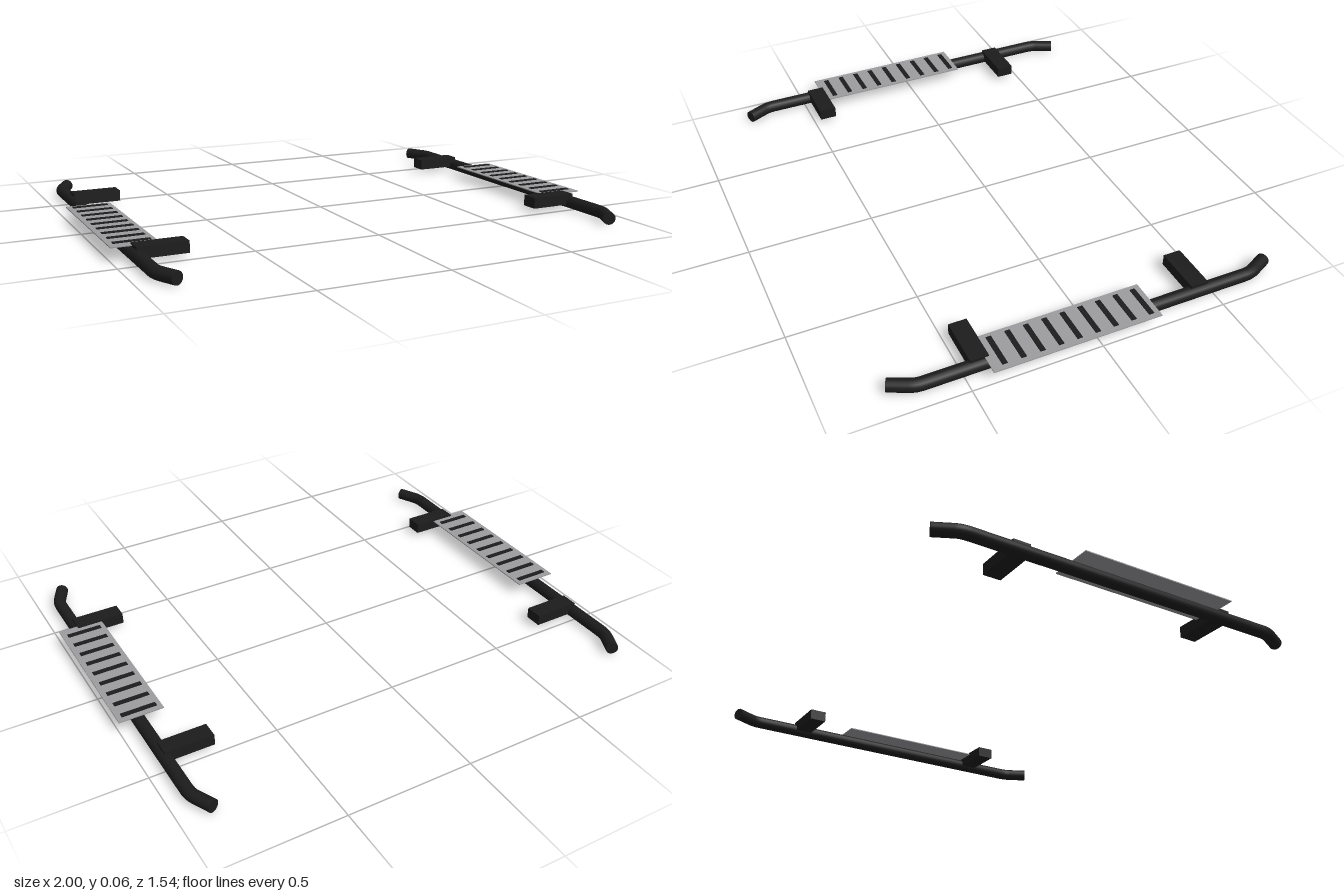
import * as THREE from 'three';

const black = new THREE.MeshStandardMaterial({ color: 0x1c1c1c });
const steel = new THREE.MeshStandardMaterial({ color: 0x9c9c9f });

function box(name, material, [x0, x1], [y0, y1], [z0, z1]) {
  const mesh = new THREE.Mesh(new THREE.BoxGeometry(x1 - x0, y1 - y0, z1 - z0), material);
  mesh.position.set((x0 + x1) / 2, (y0 + y1) / 2, (z0 + z1) / 2);
  mesh.name = name;
  return mesh;
}

// Centre line of the rail: straight run with both ends bent inwards
function railPath() {
  const v = (x, z) => new THREE.Vector3(x, 0.026, z);
  const path = new THREE.CurvePath();
  path.add(new THREE.LineCurve3(v(0.876, -0.76), v(0.91, -0.69)));
  path.add(new THREE.QuadraticBezierCurve3(v(0.91, -0.69), v(0.92, -0.67), v(0.92, -0.64)));
  path.add(new THREE.LineCurve3(v(0.92, -0.64), v(0.92, 0.64)));
  path.add(new THREE.QuadraticBezierCurve3(v(0.92, 0.64), v(0.92, 0.67), v(0.91, 0.69)));
  path.add(new THREE.LineCurve3(v(0.91, 0.69), v(0.876, 0.76)));
  return path;
}

function createSideStep(name) {
  const step = new THREE.Group();
  step.name = name;
  const radius = 0.025;
  const path = railPath();

  // Tubular rail with closed ends
  const rail = new THREE.Mesh(new THREE.TubeGeometry(path, 120, radius, 16), black);
  rail.name = 'rail';
  step.add(rail);
  for (const t of [0, 1]) {
    const cap = new THREE.Mesh(new THREE.CircleGeometry(radius, 16), black);
    const end = path.getPointAt(t);
    const outward = path.getTangentAt(t).multiplyScalar(t ? 1 : -1);
    cap.position.copy(end);
    cap.lookAt(end.clone().add(outward));
    cap.name = 'railEndCap';
    step.add(cap);
  }

  // Mounting brackets reaching inwards
  for (const z of [-0.44, 0.44]) {
    step.add(box('mountingBracket', black, [0.735, 0.925], [0.018, 0.062], [z - 0.035, z + 0.035]));
  }

  // Tread plate with grip strips
  step.add(box('treadPlate', steel, [0.825, 1], [0.052, 0.056], [-0.235, 0.42]));
  for (let i = 0; i < 9; i++) {
    const z = -0.203 + i * 0.0717;
    step.add(box('gripStrip', black, [0.843, 0.98], [0.054, 0.059], [z - 0.01, z + 0.01]));
  }
  return step;
}

export function createModel() {
  const model = new THREE.Group();
  model.name = 'sideSteps';
  const left = createSideStep('leftSideStep');
  const right = createSideStep('rightSideStep');
  right.scale.x = -1;
  model.add(left, right);
  return model;
}
